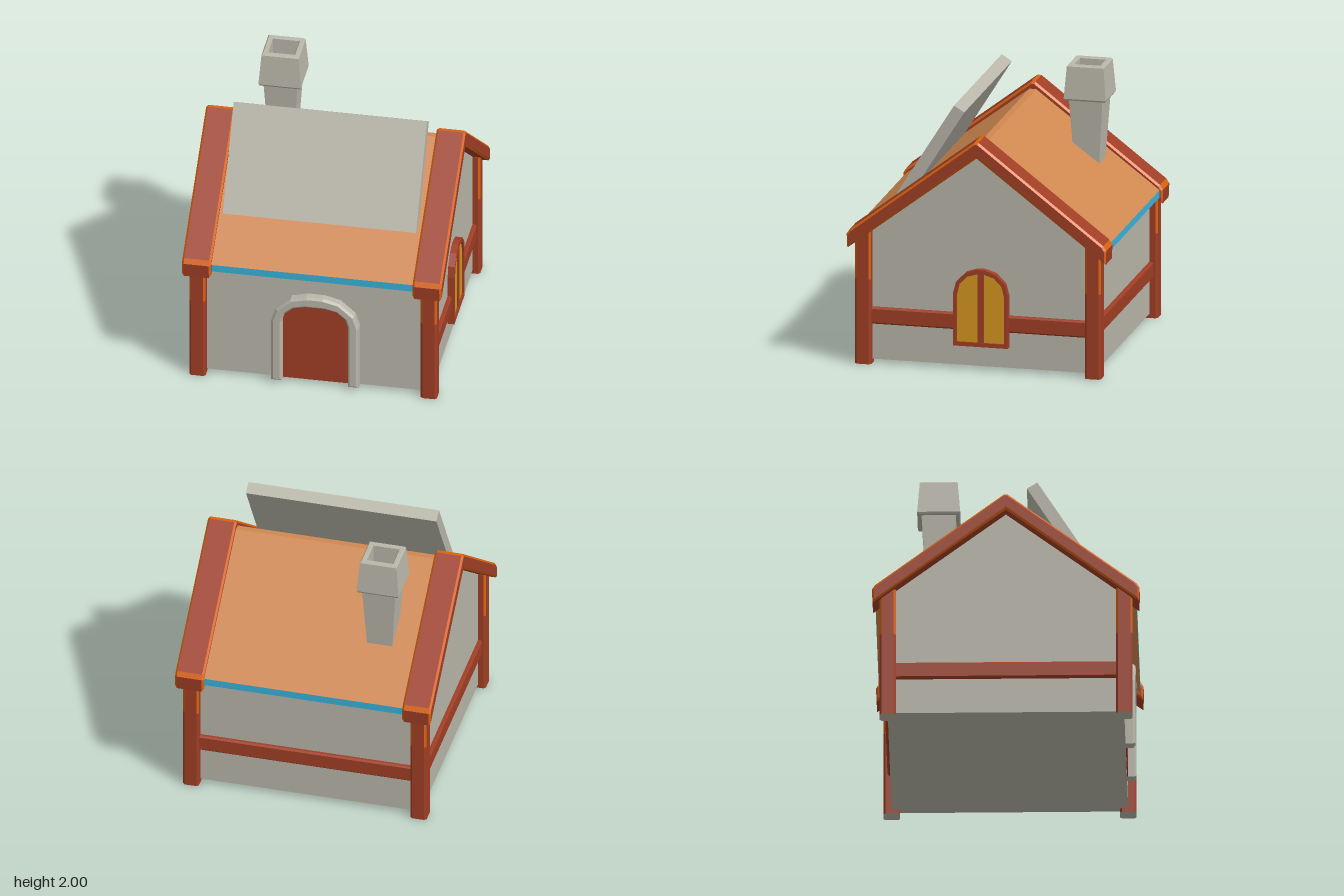
import * as THREE from 'three';

const mat = (name, color) => Object.assign(new THREE.MeshStandardMaterial({ color }), { name });

export function createModel() {
  const stone = mat('stone', 0xbab7aa);
  const wood = mat('red wood', 0xa03e25);
  const trim = mat('orange trim', 0xd8620f);
  const tile = mat('roof tile', 0xd08850);
  const blue = mat('blue eave', 0x38b4dc);
  const glass = mat('amber glass', 0xd6971f);

  const house = new THREE.Group();
  house.name = 'house';

  const add = (name, geometry, material, parent = house) => {
    const mesh = new THREE.Mesh(geometry, material);
    mesh.name = name;
    parent.add(mesh);
    return mesh;
  };
  const outline = (pts) => new THREE.Shape(pts.map(([x, y]) => new THREE.Vector2(x, y)));
  const mirrored = (half) => [...half, ...half.map(([x, y]) => [-x, y]).reverse()];

  // Extrusion of total length, centred on z, with an optional inward bevel
  const extrude = (shape, length, bevel = 0) => {
    const g = new THREE.ExtrudeGeometry(shape, {
      depth: length - 2 * bevel, bevelEnabled: bevel > 0, bevelSegments: 1,
      bevelSize: bevel, bevelThickness: bevel, bevelOffset: -bevel, curveSegments: 1,
    });
    return g.translate(0, 0, bevel - length / 2);
  };
  // Same, but the profile is (z, y) and the length runs along x
  const extrudeX = (shape, length, bevel) => extrude(shape, length, bevel).rotateY(-Math.PI / 2);

  // Regroup faces by their normal: the rule returns a material index
  const paint = (g, rule) => {
    const n = g.attributes.normal;
    g.clearGroups();
    for (let i = 0, start = 0; i < n.count; i += 3) {
      const at = (k) => rule(Math.abs(n.getX(k)), Math.abs(n.getY(k)), Math.abs(n.getZ(k)));
      if (i + 3 >= n.count || at(i) !== at(i + 3)) {
        g.addGroup(start, i + 3 - start, at(i));
        start = i + 3;
      }
    }
    return g;
  };

  // Walls with gables
  add('walls', extrudeX(outline(mirrored([[0.86, 0.03], [0.86, 0.99], [0, 1.645]])), 1.72), stone);

  // Roof slab with a flat ridge and blue eaves
  const roofShape = outline([
    [0.95, 0.93], [0.95, 0.985], [0.025, 1.685], [-0.025, 1.685],
    [-0.95, 0.985], [-0.95, 0.93], [0, 1.61],
  ]);
  add('roof', paint(extrudeX(roofShape, 1.52), (x, y, z) => (z > 0.95 ? 1 : 0)), [tile, blue]);

  // Gable beams: red faces with orange bevels, ridge and eave edges
  const gableShape = outline([
    [0.968, 0.88], [0.973, 0.985], [0.95, 1.02], [0.015, 1.737], [-0.015, 1.737],
    [-0.95, 1.02], [-0.973, 0.985], [-0.968, 0.88], [0, 1.617],
  ]);
  for (const s of [1, -1]) {
    const g = paint(extrudeX(gableShape, 0.215, 0.015), (x, y, z) =>
      (x > 0.95 || z > 0.95 || (x < 0.1 && Math.abs(z - 0.607) < 0.04) ? 0 : 1));
    add('gableBeam', g, [wood, trim]).position.x = s * 0.8525;
  }

  // Chamfered timber section
  const timber = (w, h, c) => outline([
    [w / 2 - c, -h / 2], [w / 2, -h / 2 + c], [w / 2, h / 2 - c], [w / 2 - c, h / 2],
    [-w / 2 + c, h / 2], [-w / 2, h / 2 - c], [-w / 2, -h / 2 + c], [-w / 2 + c, -h / 2],
  ]);

  // Corner posts, with orange chamfers on the upper part
  for (const x of [0.855, -0.855]) {
    for (const z of [0.86, -0.86]) {
      const post = new THREE.Group();
      post.name = 'cornerPost';
      post.position.set(x, 0, z);
      house.add(post);
      const section = timber(0.12, 0.12, 0.015);
      const lower = extrude(section, 0.64).rotateX(-Math.PI / 2).translate(0, 0.32, 0);
      add('lowerPost', lower, [stone, wood], post);
      const upper = extrude(section, 0.36).rotateX(-Math.PI / 2).translate(0, 0.82, 0);
      upper.computeVertexNormals();
      paint(upper, (a, b, c) => (a < 0.95 && b < 0.95 && c < 0.95 ? 1 : 0));
      add('upperPost', upper, [wood, trim], post);
    }
  }

  // Horizontal rails on the sides and the back
  const rail = timber(0.06, 0.125, 0.012);
  for (const s of [1, -1]) {
    add('sideRail', extrude(rail, 1.62), wood).position.set(s * 0.86, 0.3625, 0);
  }
  add('backRail', extrudeX(rail, 1.62), wood).position.set(0, 0.3625, -0.86);

  // Arched door with a bevelled stone surround
  const doorOuter = mirrored([[0.323, 0.03], [0.323, 0.54], [0.29, 0.64], [0.18, 0.735], [0.06, 0.765]]);
  const doorInner = mirrored([[0.245, 0.03], [0.245, 0.54], [0.225, 0.605], [0.16, 0.66], [0.07, 0.68]]);
  const door = new THREE.Group();
  door.name = 'door';
  door.position.x = 0.015;
  house.add(door);
  const surround = outline([...doorOuter, ...doorInner.slice().reverse()]);
  add('doorSurround', extrude(surround, 0.09, 0.015), stone, door).position.z = 0.885;
  add('doorLeaf', extrude(outline(doorInner), 0.008), wood, door).position.z = 0.865;

  // Arched window on the left wall
  const winOuter = mirrored([[0.205, 0.185], [0.205, 0.58], [0.183, 0.665], [0.112, 0.738], [0.03, 0.765]]);
  const winInner = mirrored([[0.177, 0.215], [0.177, 0.575], [0.158, 0.65], [0.1, 0.71], [0.025, 0.733]]);
  const win = new THREE.Group();
  win.name = 'window';
  win.position.z = -0.02;
  house.add(win);
  const frame = outline(winOuter);
  frame.holes.push(new THREE.Path(winInner.map(([x, y]) => new THREE.Vector2(x, y))));
  add('windowFrame', extrudeX(frame, 0.06), wood, win).position.x = 0.88;
  add('windowGlass', extrudeX(outline(winInner), 0.008), glass, win).position.x = 0.891;
  add('windowMullion', new THREE.BoxGeometry(0.03, 0.53, 0.045), wood, win).position.set(0.89, 0.472, 0);

  // Chimney: tapered stack and a hollow flared cap, as four-sided lathes
  const square = (profile) => {
    const pts = profile.map(([h, y]) => new THREE.Vector2(h * Math.SQRT2, y));
    const g = new THREE.LatheGeometry(pts, 4).rotateY(Math.PI / 4).toNonIndexed();
    g.computeVertexNormals();
    return g;
  };
  const chimney = new THREE.Group();
  chimney.name = 'chimney';
  chimney.position.set(-0.48, 0, -0.493);
  house.add(chimney);
  add('chimneyStack', square([[0.088, 1.15], [0.126, 1.75]]), stone, chimney);
  add('chimneyCap', square([
    [0.1, 1.735], [0.15, 1.735], [0.157, 1.748], [0.138, 1.988], [0.128, 2],
    [0.105, 2], [0.097, 1.99], [0.097, 1.85], [0, 1.85],
  ]), stone, chimney);

  // Slanted stone panel leaning on the front roof slope
  const panel = add('roofPanel', new THREE.BoxGeometry(1.43, 0.815, 0.09), stone);
  panel.position.set(0, 1.57, 0.403);
  panel.rotation.x = -Math.atan2(0.43, 0.69);

  return house;
}
